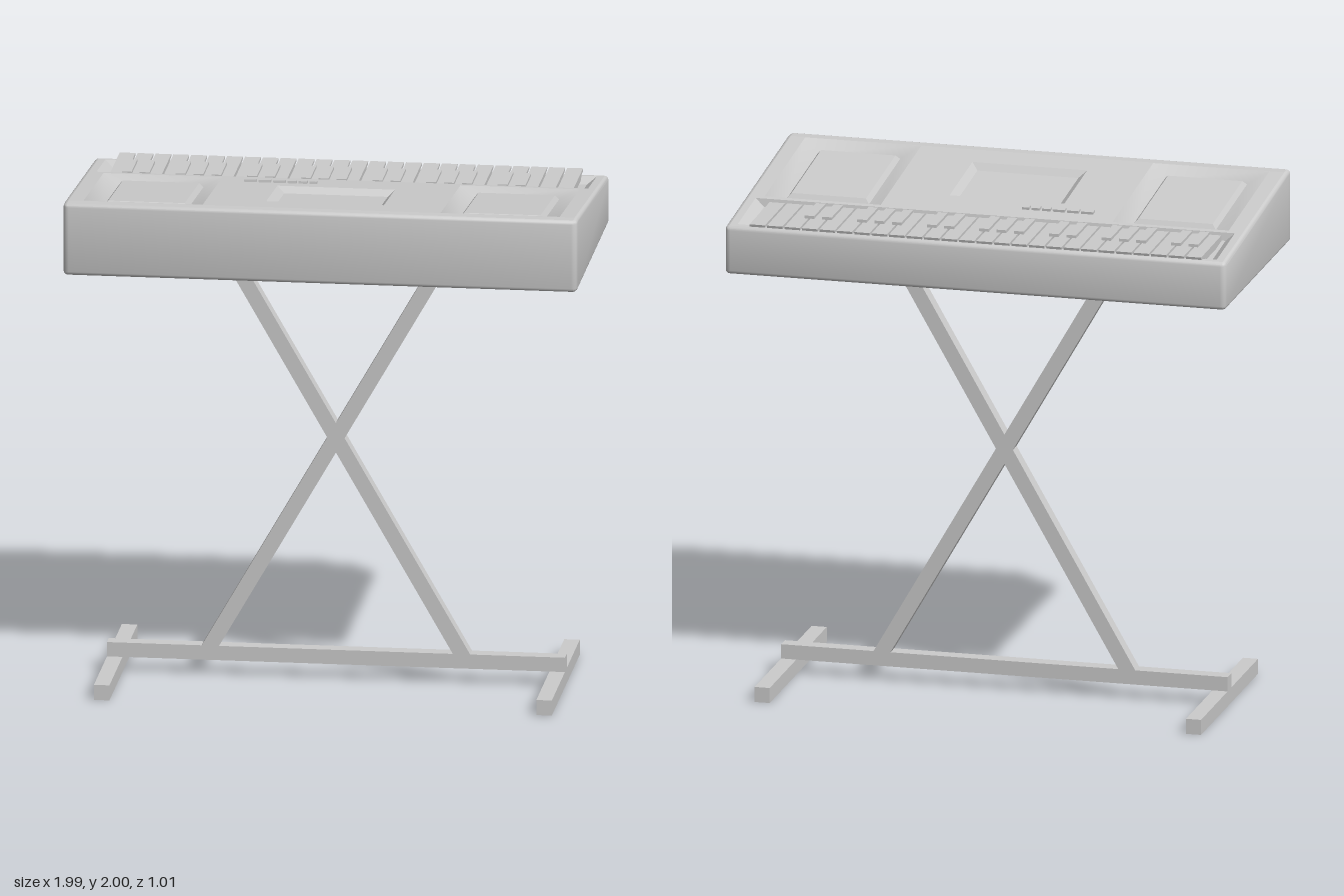
import * as THREE from 'three';
import { toCreasedNormals } from 'three/addons/utils/BufferGeometryUtils.js';

const grey = new THREE.MeshStandardMaterial({ color: 0xcccccc });
const BREAK = 0.445, SLOPE = 0.102;
const BOTTOM = 1.715;

// Height of the top panel: flat at the front edge, falling towards the keys
const topY = (z) => 2 - SLOPE * Math.max(0, BREAK - z);

function add(parent, name, geometry, x = 0, y = 0, z = 0) {
  const mesh = new THREE.Mesh(geometry, grey);
  mesh.name = name;
  mesh.position.set(x, y, z);
  parent.add(mesh);
  return mesh;
}

// Box given by its limits on each axis
function span(parent, name, x0, x1, y0, y1, z0, z1) {
  return add(parent, name, new THREE.BoxGeometry(x1 - x0, y1 - y0, z1 - z0),
    (x0 + x1) / 2, (y0 + y1) / 2, (z0 + z1) / 2);
}

// Skin through closed rings of points (counter-clockwise seen from above)
function loft(rings) {
  const pos = [];
  for (let r = 0; r + 1 < rings.length; r++) {
    const a = rings[r], b = rings[r + 1], n = a.length;
    for (let i = 0; i < n; i++) {
      const j = (i + 1) % n;
      for (const t of [[a[i], a[j], b[j]], [a[i], b[j], b[i]]]) {
        if (new THREE.Triangle(...t).getArea() > 1e-9) t.forEach((p) => pos.push(p.x, p.y, p.z));
      }
    }
  }
  const g = new THREE.BufferGeometry();
  g.setAttribute('position', new THREE.Float32BufferAttribute(pos, 3));
  return toCreasedNormals(g, 0.6);
}

// Ring collapsed to its middle, used to close a loft
function middle(ring) {
  const c = new THREE.Box3().setFromPoints(ring).getCenter(new THREE.Vector3());
  return ring.map(() => c);
}

// Rounded-rectangle plan of the case, with extra points on the break line
function plan(inset, height) {
  const X = 0.993 - inset, Z = 0.5 - inset, r = 0.022 - inset, pts = [];
  for (let q = 0; q < 4; q++) {
    const sx = q === 0 || q === 3 ? 1 : -1, sz = q < 2 ? -1 : 1;
    if (q === 3) pts.push([X, BREAK]);
    for (let k = 0; k <= 4; k++) {
      const a = (q + k / 4) * Math.PI / 2;
      pts.push([sx * (X - r) + r * Math.cos(a), sz * (Z - r) - r * Math.sin(a)]);
    }
    if (q === 1) pts.push([-X, BREAK]);
  }
  // walk order: back right, back left, front left, front right
  const last = pts.findIndex((p) => p[0] === X && p[1] === BREAK);
  if (last >= 0) pts.push(pts.splice(last, 1)[0]);
  return pts.map(([x, z]) => new THREE.Vector3(x, height(z), z));
}

// Rectangular ring for recesses
const rect = ([x0, x1, z0, z1], height) =>
  [[x1, z1], [x1, z0], [x0, z0], [x0, z1]].map(([x, z]) => new THREE.Vector3(x, height(z), z));

// Top sheet from plan points, with rectangular holes
function sheet(points, holes) {
  const shape = new THREE.Shape(points.map((p) => new THREE.Vector2(p.x, -p.z)));
  for (const [x0, x1, z0, z1] of holes) {
    shape.holes.push(new THREE.Path([[x0, z0], [x1, z0], [x1, z1], [x0, z1]]
      .map(([x, z]) => new THREE.Vector2(x, -z))));
  }
  const g = new THREE.ShapeGeometry(shape);
  const p = g.attributes.position;
  for (let i = 0; i < p.count; i++) {
    const z = -p.getY(i);
    p.setXYZ(i, p.getX(i), topY(z), z);
  }
  g.computeVertexNormals();
  return g;
}

function buildCase(parent) {
  // Outer shell with softened edges
  const R = 0.015, rings = [];
  const steps = [0, 1, 2, 3].map((k) => k / 3 * Math.PI / 2);
  for (const a of steps) rings.push(plan(R * (1 - Math.sin(a)), () => BOTTOM + R * (1 - Math.cos(a))));
  for (const a of steps) rings.push(plan(R * (1 - Math.cos(a)), (z) => topY(z) - R * (1 - Math.sin(a))));
  add(parent, 'caseShell', loft([middle(rings[0]), ...rings]));

  // Recesses: each is a list of rectangles with their depth under the panel
  const side = (s) => [
    [-0.92, -0.46, -0.17, 0.44, 0],
    [-0.85, -0.525, -0.1, 0.372, 0.03],
    [-0.835, -0.54, -0.088, 0.357, 0.012],
  ].map(([a, b, c, d, e]) => (s < 0 ? [a, b, c, d, e] : [-b, -a, c, d, e]));
  const recesses = {
    rightSpeakerPanel: side(-1),
    leftSpeakerPanel: side(1),
    displayRecess: [[-0.23, 0.225, -0.025, 0.32, 0], [-0.2, 0.2, 0, 0.3, 0.025]],
    keyBed: [[-0.95, 0.95, -0.465, -0.193, 0], [-0.915, 0.915, -0.44, -0.2, 0.03]],
  };
  for (const [name, list] of Object.entries(recesses)) {
    const rr = list.map((q) => rect(q, (z) => topY(z) - q[4]));
    add(parent, name, loft([...rr, middle(rr[rr.length - 1])]));
  }

  // Top panel, split along the break line
  const edge = rings[rings.length - 1];
  add(parent, 'topPanel', sheet(edge.filter((p) => p.z <= BREAK), Object.values(recesses).map((l) => l[0])));
  add(parent, 'frontLip', sheet(edge.filter((p) => p.z >= BREAK), []));
}

function buildKeys(parent) {
  const pitch = 0.0692, start = -0.9;
  // White key: side profile extruded across its width
  const profile = new THREE.Shape([[0.205, 1.895], [0.44, 1.895], [0.465, 1.911], [0.508, 1.914],
    [0.511, 1.924], [0.205, 1.926]].map(([z, y]) => new THREE.Vector2(z, y)));
  const white = new THREE.ExtrudeGeometry(profile, { depth: 0.061, bevelEnabled: false });
  white.rotateY(Math.PI / 2);
  for (let i = 0; i < 26; i++) {
    const x = start + i * pitch;
    add(parent, 'whiteKey', white, x);
    // Black keys in groups of two and three
    if ([1, 2, 4, 5, 6].includes(i % 7) && i < 25) {
      span(parent, 'blackKey', x - 0.023, x + 0.015, 1.9, 1.936, -0.38, -0.205);
    }
  }
}

function buildButtons(parent) {
  const widths = [0.048, 0.046, 0.047, 0.033, 0.032, 0.028];
  let x = -0.367;
  for (const w of widths) {
    const b = span(parent, 'button', x, x + w, 1.93, 1.954, -0.112, -0.085);
    b.rotation.x = Math.atan(-SLOPE);
    x += w + 0.0095;
  }
}

function buildStand(parent) {
  span(parent, 'crossBar', -0.885, 0.885, 0.06, 0.117, -0.055, 0.002);
  for (const s of [-1, 1]) {
    // Floor foot
    span(parent, 'foot', s * 0.855 - 0.03, s * 0.855 + 0.03, 0, 0.06, -0.456, 0.405);
    // Crossed leg, cut level at both ends
    const corners = [[-0.52, 0.115], [-0.453, 0.115], [0.468, BOTTOM + 0.004], [0.401, BOTTOM + 0.004]];
    if (s < 0) corners.reverse();
    const shape = new THREE.Shape(corners.map(([x, y]) => new THREE.Vector2(s * x, y)));
    add(parent, 'crossedLeg', new THREE.ExtrudeGeometry(shape, { depth: 0.057, bevelEnabled: false }), 0, 0, -0.055);
  }
}

export function createModel() {
  const model = new THREE.Group();
  model.name = 'keyboardOnStand';
  const parts = { case: buildCase, keys: buildKeys, buttons: buildButtons, stand: buildStand };
  for (const [name, build] of Object.entries(parts)) {
    const group = new THREE.Group();
    group.name = name;
    build(group);
    model.add(group);
  }
  return model;
}
